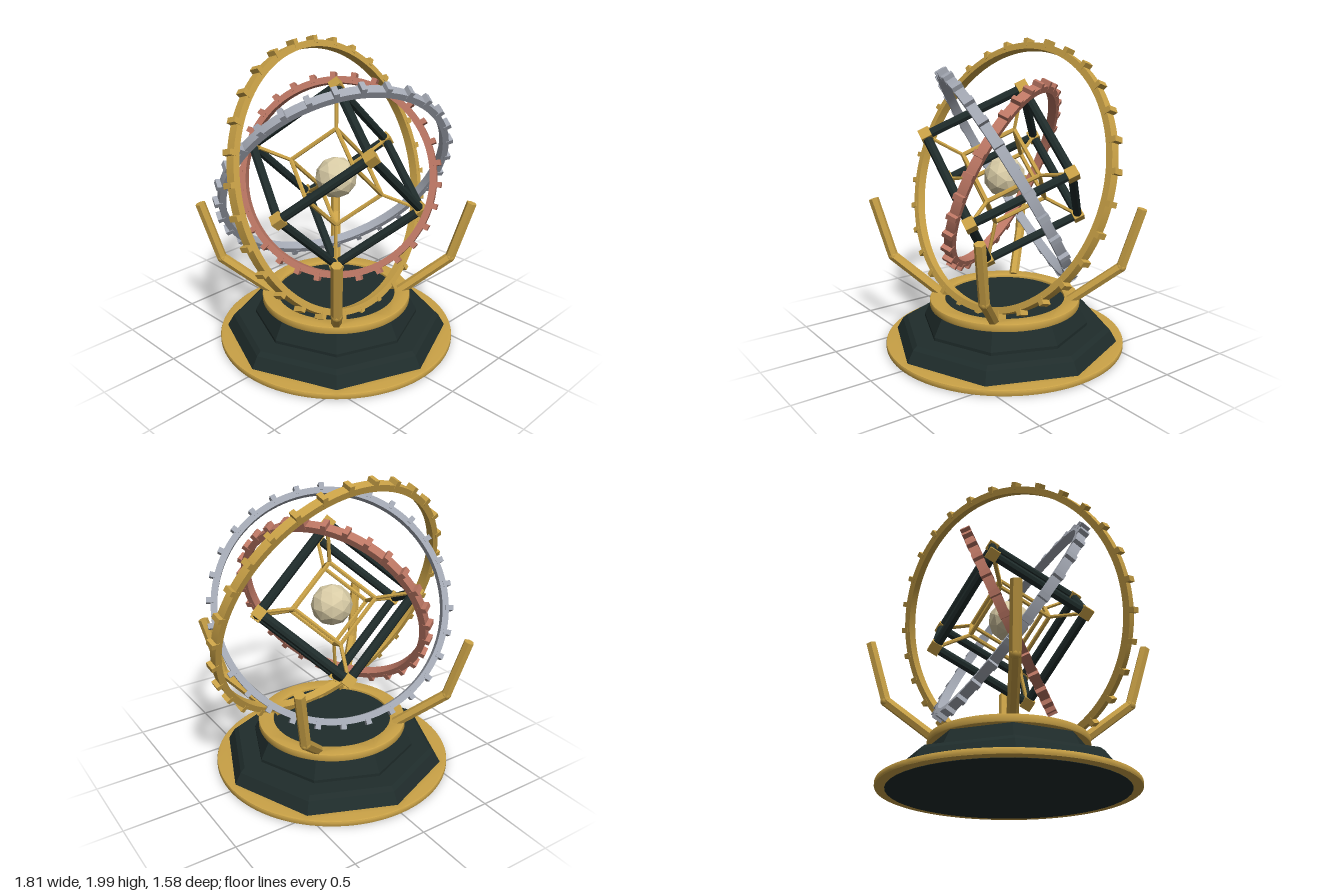
import * as THREE from 'three';
import { toCreasedNormals } from 'three/addons/utils/BufferGeometryUtils.js';

const V = (x, y, z) => new THREE.Vector3(x, y, z);
const CENTER = V(0, 1.13, 0);

function material(name, color, flatShading = false) {
  const m = new THREE.MeshStandardMaterial({ color, flatShading });
  m.name = name;
  return m;
}

export function createModel() {
  const gold = material('gold', 0xc9a146);
  const dark = material('dark green', 0x1f2c2b, true);
  const silver = material('silver', 0xa4a9b4);
  const copper = material('copper', 0xbb7663);
  const cream = material('cream', 0xd9cca6, true);

  const model = new THREE.Group();
  model.name = 'armillary';

  function add(parent, name, geometry, mat) {
    const mesh = new THREE.Mesh(geometry, mat);
    mesh.name = name;
    parent.add(mesh);
    return mesh;
  }

  function group(name, parent = model) {
    const g = new THREE.Group();
    g.name = name;
    parent.add(g);
    return g;
  }

  // Straight rod between two points
  function rod(parent, name, a, b, radius, sides, mat) {
    const d = b.clone().sub(a);
    const geo = new THREE.CylinderGeometry(radius, radius, d.length(), sides);
    const mesh = add(parent, name, toCreasedNormals(geo, 0.4), mat);
    mesh.position.copy(a).add(b).multiplyScalar(0.5);
    mesh.quaternion.setFromUnitVectors(V(0, 1, 0), d.normalize());
    return mesh;
  }

  // Flat ring around z, centred on its thickness
  function annulus(outer, inner, depth, bevel = 0) {
    const shape = new THREE.Shape().absarc(0, 0, outer - bevel, 0, Math.PI * 2);
    if (inner) shape.holes.push(new THREE.Path().absarc(0, 0, inner + bevel, 0, Math.PI * 2, true));
    const geo = new THREE.ExtrudeGeometry(shape, {
      depth: depth - 2 * bevel, curveSegments: 64, bevelEnabled: bevel > 0,
      bevelSize: bevel, bevelThickness: bevel, bevelSegments: 2,
    });
    geo.translate(0, 0, bevel - depth / 2);
    return toCreasedNormals(geo, 0.5);
  }

  // Stepped octagonal plinth
  const base = group('base');
  const profile = [[0.75, 0.035], [0.705, 0.115], [0.675, 0.14], [0.55, 0.14],
    [0.55, 0.16], [0.49, 0.275], [0, 0.275]].map(([r, y]) => new THREE.Vector2(r, y));
  add(base, 'plinth', new THREE.LatheGeometry(profile, 8), dark);

  const foot = add(base, 'footRim', annulus(0.79, 0.66, 0.038, 0.008), gold);
  foot.rotation.x = -Math.PI / 2;
  foot.position.y = 0.021;
  const underside = add(base, 'underside', new THREE.CylinderGeometry(0.73, 0.73, 0.009, 48), dark);
  underside.position.y = 0.0045;

  const collar = add(base, 'collar', annulus(0.497, 0.395, 0.05, 0.008), gold);
  collar.rotation.x = -Math.PI / 2;
  collar.position.y = 0.296;
  const deck = add(base, 'deck', new THREE.CylinderGeometry(0.41, 0.41, 0.03, 48), dark);
  deck.position.y = 0.29;

  // Four bent prongs on the diagonals
  for (let i = 0; i < 4; i++) {
    const prong = group('prong');
    const foot = V(0.43, 0.31, 0), bend = V(0.76, 0.56, 0), tip = V(0.88, 0.95, 0);
    rod(prong, 'prongLower', foot, bend, 0.034, 6, gold);
    rod(prong, 'prongUpper', bend, tip, 0.034, 6, gold);
    add(prong, 'prongJoint', new THREE.SphereGeometry(0.034, 10, 8), gold).position.copy(bend);
    prong.rotation.y = Math.PI / 4 + i * Math.PI / 2;
  }

  // Tilted toothed rings
  function toothedRing(name, normal, outer, mat) {
    const ring = group(name);
    add(ring, 'band', annulus(outer, outer - 0.042, 0.06), mat);
    const tooth = new THREE.BoxGeometry(0.05, 0.034, 0.066);
    const count = 30;
    for (let i = 0; i < count; i++) {
      const a = i / count * Math.PI * 2;
      const t = add(ring, 'tooth', tooth, mat);
      t.position.set(Math.cos(a) * (outer + 0.004), Math.sin(a) * (outer + 0.004), 0);
      t.rotation.z = a;
    }
    ring.quaternion.setFromUnitVectors(V(0, 0, 1), normal.normalize());
    ring.position.copy(CENTER);
  }
  toothedRing('outerRing', V(0.1, 0.32, 0.94), 0.875, gold);
  toothedRing('middleRing', V(-0.343, -0.5, 0.795), 0.765, silver);
  toothedRing('innerRing', V(-0.8, 0.38, 0.465), 0.643, copper);

  // Nested cubes: dark outer frame, thin inner frame and links between corners
  const cage = group('cubeCage');
  const ex = V(0.72, -0.694, 0), ez = V(-0.403, -0.418, 0.814);
  const ey = ez.clone().cross(ex);
  cage.quaternion.setFromRotationMatrix(new THREE.Matrix4().makeBasis(ex, ey, ez));
  cage.position.copy(CENTER);
  const corner = (i, half) => V(i & 1 ? half : -half, i & 2 ? half : -half, i & 4 ? half : -half);
  const outer = 0.334, inner = 0.18;
  for (let i = 0; i < 8; i++) {
    add(cage, 'cornerBlock', new THREE.BoxGeometry(0.07, 0.07, 0.07), gold).position.copy(corner(i, outer));
    rod(cage, 'link', corner(i, inner), corner(i, outer), 0.012, 6, gold);
    for (const bit of [1, 2, 4]) {
      if (i & bit) continue;
      rod(cage, 'outerEdge', corner(i, outer), corner(i | bit, outer), 0.029, 8, dark);
      rod(cage, 'innerEdge', corner(i, inner), corner(i | bit, inner), 0.014, 6, gold);
    }
  }

  // Core globe
  add(model, 'core', new THREE.IcosahedronGeometry(0.135, 1), cream).position.copy(CENTER);

  return model;
}
